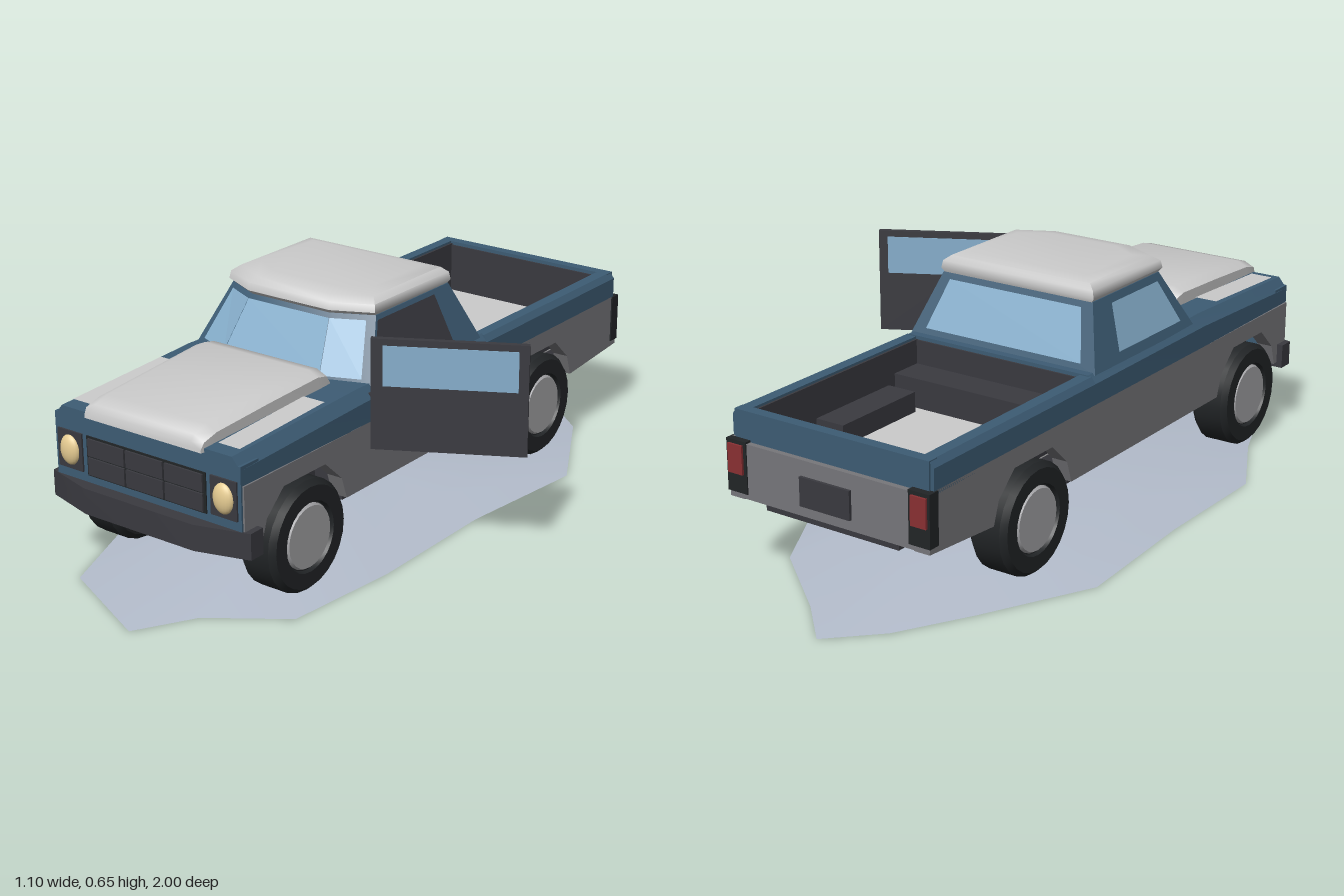
import * as THREE from 'three';
import { toCreasedNormals } from 'three/addons/utils/BufferGeometryUtils.js';

const mat = (color) => new THREE.MeshStandardMaterial({ color, side: THREE.DoubleSide });
const M = {
  light: mat(0xcccccc), ground: mat(0xb4bdcc), blue: mat(0x3d5c74), grey: mat(0x77777b), dark: mat(0x3a3a40),
  black: mat(0x222527), glass: mat(0x86aecb), lamp: mat(0xe6cc92), red: mat(0x8a3033), hub: mat(0xa5a5a8),
};

function add(parent, name, geo, material, x = 0, y = 0, z = 0) {
  const mesh = new THREE.Mesh(geo, material);
  mesh.name = name;
  mesh.position.set(x, y, z);
  parent.add(mesh);
  return mesh;
}

// box given by its extents on each axis
function box(parent, name, material, x0, x1, y0, y1, z0, z1) {
  return add(parent, name, new THREE.BoxGeometry(Math.abs(x1 - x0), y1 - y0, Math.abs(z1 - z0)), material,
    (x0 + x1) / 2, (y0 + y1) / 2, (z0 + z1) / 2);
}

// closed skin through equal-sized rings, capped at both ends
function loft(rings, crease = 0.4) {
  const n = rings[0].length, tris = [];
  for (let r = 0; r < rings.length - 1; r++) {
    for (let i = 0; i < n; i++) {
      const j = (i + 1) % n, a = rings[r], b = rings[r + 1];
      tris.push([a[i], a[j], b[j]], [a[i], b[j], b[i]]);
    }
  }
  const first = rings[0], last = rings[rings.length - 1];
  for (let i = 1; i < n - 1; i++) tris.push([first[0], first[i + 1], first[i]], [last[0], last[i], last[i + 1]]);
  // a negative volume means the skin is inside out
  const v = (p) => new THREE.Vector3(...p);
  const volume = tris.reduce((s, [a, b, c]) => s + v(a).dot(v(b).cross(v(c))), 0);
  if (volume < 0) tris.forEach((t) => t.reverse());
  const geo = new THREE.BufferGeometry();
  geo.setAttribute('position', new THREE.Float32BufferAttribute(tris.flat(2), 3));
  geo.computeVertexNormals();
  return toCreasedNormals(geo, crease);
}

// part of the quad a-b-c-d, lifted slightly off it
function patch(a, b, c, d, u0 = 0, u1 = 1, v0 = 0, v1 = 1) {
  const [A, B, C, D] = [a, b, c, d].map((p) => new THREE.Vector3(...p));
  const lift = D.clone().sub(A).cross(B.clone().sub(A)).normalize().multiplyScalar(0.004);
  const at = (u, v) => A.clone().lerp(B, u).lerp(D.clone().lerp(C, u), v).add(lift);
  const p = [at(u0, v0), at(u1, v0), at(u1, v1), at(u0, v1)];
  const geo = new THREE.BufferGeometry().setFromPoints([p[0], p[2], p[1], p[0], p[3], p[2]]);
  geo.computeVertexNormals();
  return geo;
}

// plan outline with a bowed front
const plan = (y, hw, zb, zf, c) => [[-hw, y, zb], [hw, y, zb], [hw, y, zf - c],
  [hw * 0.55, y, zf], [-hw * 0.55, y, zf], [-hw, y, zf - c]];

// section across the width with chamfered shoulders
const section = (z, hw, y0, y1, cx, cy) => [[-hw, y0, z], [-hw, y1 - cy, z], [-hw + cx, y1, z],
  [hw - cx, y1, z], [hw, y1 - cy, z], [hw, y0, z]];

function buildWheel(parent, side, z) {
  const wheel = new THREE.Group();
  wheel.name = 'wheel';
  const profile = [[0.001, -0.055], [0.13, -0.055], [0.145, -0.04], [0.145, 0.04], [0.132, 0.055], [0.092, 0.055], [0.088, 0.045], [0.001, 0.045]]
    .map(([r, y]) => new THREE.Vector2(r, y));
  add(wheel, 'tyre', toCreasedNormals(new THREE.LatheGeometry(profile, 24), 0.5), M.black);
  add(wheel, 'hub', new THREE.CylinderGeometry(0.08, 0.088, 0.012, 24), M.hub, 0, 0.047, 0);
  wheel.rotation.z = -side * Math.PI / 2;
  wheel.position.set(side * 0.26, 0.16, z);
  parent.add(wheel);
}

function buildLowerBody(truck) {
  // side skin with polygonal wheel arches
  const s = new THREE.Shape();
  s.moveTo(0.83, 0.37);
  s.lineTo(0.83, 0.21);
  for (const z of [0.605, -0.45]) {
    s.lineTo(z + 0.165, 0.2);
    s.lineTo(z + 0.145, 0.26);
    s.lineTo(z + 0.08, 0.32);
    s.lineTo(z - 0.08, 0.32);
    s.lineTo(z - 0.145, 0.26);
    s.lineTo(z - 0.165, 0.2);
  }
  s.lineTo(-0.865, 0.22);
  s.lineTo(-0.85, 0.37);
  for (const side of [-1, 1]) {
    const skin = new THREE.ExtrudeGeometry(s, { depth: 0.045, bevelEnabled: false });
    skin.rotateY(-Math.PI / 2); // shape x becomes z, depth runs to -x
    add(truck, 'lowerSide', skin, M.grey, side > 0 ? 0.3 : -0.255, 0, 0);
  }
  box(truck, 'chassis', M.dark, -0.2, 0.2, 0.2, 0.28, -0.85, 0.8);
  box(truck, 'engineAndCabCore', M.dark, -0.2, 0.2, 0.2, 0.4, -0.18, 0.8);
  box(truck, 'sill', M.dark, -0.285, 0.285, 0.19, 0.37, -0.285, 0.44);
  box(truck, 'rearFloor', M.dark, -0.28, 0.28, 0.222, 0.28, -0.85, -0.615);
  // upper blue band from nose to the back of the cab
  add(truck, 'upperBody', loft([section(0.835, 0.295, 0.36, 0.44, 0.025, 0.03), section(0.36, 0.3, 0.36, 0.458, 0.025, 0.03),
    section(-0.185, 0.3, 0.36, 0.445, 0.02, 0.02)]), M.blue);
  for (const x of [-0.265, 0.2]) {
    add(truck, 'fenderTop', patch([x, 0.455, 0.48], [x + 0.065, 0.455, 0.48], [x + 0.065, 0.442, 0.8], [x, 0.442, 0.8]), M.light);
  }
}

function buildNose(truck) {
  const hood = [[0.845, 0.185, 0.452], [0.835, 0.187, 0.468], [0.79, 0.188, 0.48], [0.6, 0.192, 0.492], [0.42, 0.198, 0.502], [0.385, 0.198, 0.495], [0.365, 0.197, 0.465]];
  add(truck, 'hood', loft(hood.map(([z, hw, y]) => section(z, hw, 0.43, y, 0.03, 0.014)), 0.9), M.light);
  box(truck, 'fascia', M.blue, -0.295, 0.295, 0.22, 0.42, 0.77, 0.835);
  // grille: recess panel, outer frame and dividing bars
  box(truck, 'grille', M.black, -0.19, 0.19, 0.275, 0.38, 0.83, 0.838);
  for (let i = 0; i < 3; i++) {
    for (let j = 0; j < 2; j++) {
      box(truck, 'grilleCell', M.dark, -0.183 + i * 0.124, -0.065 + i * 0.124, 0.28 + j * 0.05, 0.325 + j * 0.05, 0.835, 0.843);
    }
  }
  for (const side of [-1, 1]) {
    box(truck, 'headlightSurround', M.dark, side * 0.205, side * 0.285, 0.28, 0.38, 0.83, 0.84);
    add(truck, 'headlight', new THREE.SphereGeometry(1, 20, 14), M.lamp, side * 0.245, 0.33, 0.838).scale.set(0.031, 0.04, 0.018);
  }
  add(truck, 'frontBumper', loft([0.187, 0.255].map((y) => plan(y, 0.317, 0.785, 0.87, 0.04))), M.dark);
}

function buildCab(truck) {
  const lo = plan(0.44, 0.288, -0.165, 0.37, 0.05), hi = plan(0.602, 0.232, -0.092, 0.275, 0.05);
  add(truck, 'cab', loft([lo, hi]), M.blue);
  const face = (name, i, material, ...uv) => {
    const j = (i + 1) % 6;
    add(truck, name, patch(lo[i], lo[j], hi[j], hi[i], ...uv), material);
  };
  face('windscreen', 2, M.glass, 0.2, 1, 0.14, 0.92);
  face('windscreen', 3, M.glass, 0, 1, 0.14, 0.92);
  face('windscreen', 4, M.glass, 0, 0.8, 0.14, 0.92);
  face('rearWindow', 0, M.glass, 0.07, 0.93, 0.12, 0.9);
  face('sideWindow', 5, M.glass, 0.1, 0.76, 0.16, 0.88);
  // doorway on the open side
  face('doorwayUpper', 1, M.dark, 0.24, 0.99, 0, 0.93);
  box(truck, 'doorwayLower', M.dark, 0.28, 0.304, 0.298, 0.442, -0.04, 0.335);
  box(truck, 'latch', M.black, 0.29, 0.308, 0.425, 0.433, -0.035, 0.02);
  const roof = [[0.596, 0.225, -0.09, 0.27], [0.612, 0.237, -0.097, 0.286], [0.632, 0.233, -0.094, 0.282], [0.646, 0.215, -0.08, 0.262], [0.653, 0.18, -0.05, 0.22]];
  add(truck, 'roof', loft(roof.map(([y, hw, zb, zf]) => plan(y, hw, zb, zf, 0.05)), 0.9), M.light);
}

function buildBed(truck) {
  box(truck, 'bedFloor', M.light, -0.256, 0.256, 0.275, 0.29, -0.83, -0.18);
  box(truck, 'bedFrontWall', M.dark, -0.256, 0.256, 0.28, 0.435, -0.19, -0.18);
  box(truck, 'bedRearWall', M.dark, -0.256, 0.256, 0.28, 0.432, -0.825, -0.815);
  for (const s of [-1, 1]) {
    const rail = (z) => [[s * 0.3, 0.36, z], [s * 0.3, 0.425, z], [s * 0.288, 0.442, z], [s * 0.256, 0.442, z], [s * 0.256, 0.36, z]];
    add(truck, 'bedRail', loft([rail(-0.18), rail(-0.845)]), M.blue);
    box(truck, 'bedSideWall', M.dark, s * 0.25, s * 0.258, 0.28, 0.436, -0.82, -0.18);
    box(truck, 'wheelBox', M.dark, s * 0.165, s * 0.252, 0.28, 0.345, -0.6, -0.31);
    box(truck, 'tailLightFrame', M.black, s * 0.243, s * 0.304, 0.235, 0.37, -0.868, -0.835);
    box(truck, 'tailLight', M.red, s * 0.252, s * 0.297, 0.285, 0.36, -0.874, -0.86);
  }
  box(truck, 'tailgateTop', M.blue, -0.29, 0.29, 0.36, 0.442, -0.85, -0.82);
  box(truck, 'tailgateLower', M.grey, -0.298, 0.298, 0.222, 0.365, -0.865, -0.825);
  box(truck, 'plate', M.dark, -0.075, 0.075, 0.25, 0.325, -0.873, -0.86);
}

function buildOpenDoor(parent) {
  const door = new THREE.Group();
  door.name = 'openDoor';
  box(door, 'doorPanel', M.dark, 0, 0.39, 0.297, 0.59, -0.008, 0.008);
  box(door, 'doorGlass', M.glass, 0.03, 0.365, 0.467, 0.573, -0.01, 0.01);
  door.position.set(0.2, 0, 0.335);
  door.rotation.y = 0.49;
  parent.add(door);
}

// low mound as an open shell, rings shrinking toward the middle
function buildGround(parent) {
  const rim = [[-0.17, -1], [-0.05, -0.88], [0.17, -0.7], [0.34, -0.385], [0.295, 0], [0.295, 0.4], [0.26, 0.72], [0.07, 0.85],
    [-0.02, 1], [-0.31, 0.865], [-0.41, 0.61], [-0.535, 0.37], [-0.53, 0], [-0.55, -0.4], [-0.4, -0.69], [-0.29, -0.88]];
  const levels = [[1, 0], [0.65, 0.033], [0.3, 0.053], [0, 0.057]];
  const pos = [], index = [], n = rim.length;
  levels.forEach(([k, y], r) => rim.forEach(([x, z], i) => {
    pos.push(-0.1 + (x + 0.1) * k, y, z * k);
    if (r === 0) return;
    const a = (r - 1) * n + i, b = (r - 1) * n + (i + 1) % n;
    index.push(a, b + n, b, a, a + n, b + n);
  }));
  const geo = new THREE.BufferGeometry();
  geo.setAttribute('position', new THREE.Float32BufferAttribute(pos, 3));
  geo.setIndex(index);
  geo.computeVertexNormals();
  add(parent, 'ground', geo, M.ground);
}

export function createModel() {
  const model = new THREE.Group();
  model.name = 'pickupTruck';
  const truck = new THREE.Group();
  truck.name = 'truck';
  truck.position.x = -0.097;
  model.add(truck);
  buildLowerBody(truck);
  buildNose(truck);
  buildCab(truck);
  buildBed(truck);
  for (const side of [-1, 1]) for (const z of [0.605, -0.45]) buildWheel(truck, side, z);
  buildOpenDoor(model);
  buildGround(model);
  return model;
}
